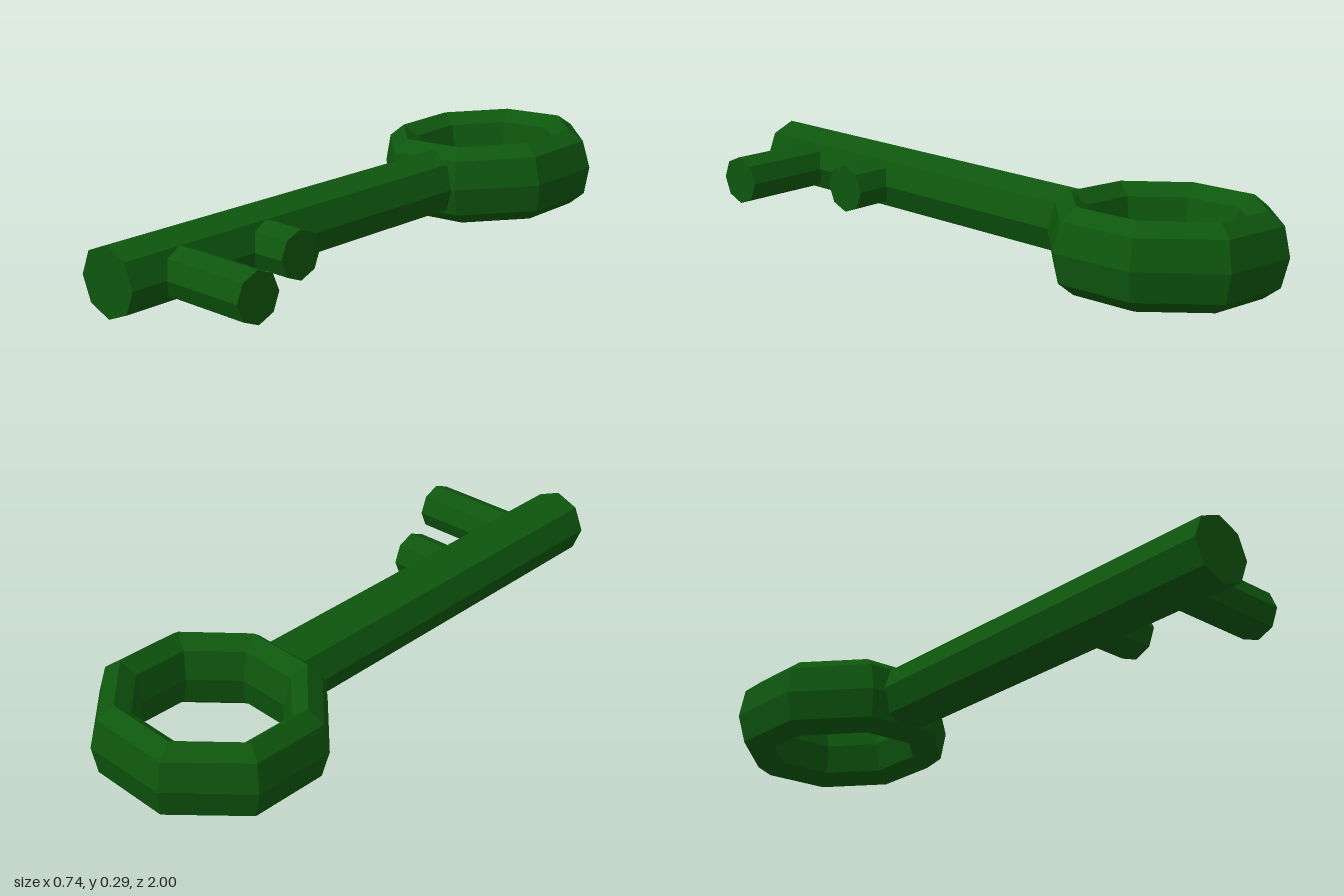
import * as THREE from 'three';

export function createModel() {
  const key = new THREE.Group();
  key.name = 'key';
  const green = new THREE.MeshStandardMaterial({ color: 0x0e560e, flatShading: true });
  green.name = 'dark green';

  const add = (name, geometry, x, y, z) => {
    const mesh = new THREE.Mesh(geometry, green);
    mesh.name = name;
    mesh.position.set(x, y, z);
    key.add(mesh);
    return mesh;
  };

  // Eight-sided shaft running along z, its back end buried in the bow
  const shaft = new THREE.CylinderGeometry(0.108, 0.108, 1.4, 8);
  shaft.rotateX(Math.PI / 2);
  add('shaft', shaft, -0.017, 0.145, 0.3);

  // Two teeth pointing to the key's left
  const addTooth = (name, end, z) => {
    const tooth = new THREE.CylinderGeometry(0.078, 0.078, end, 8);
    tooth.rotateZ(-Math.PI / 2);
    add(name, tooth, end / 2, 0.144, z);
  };
  addTooth('longTooth', 0.37, 0.801);
  addTooth('shortTooth', 0.2, 0.47);

  // Octagonal ring with a tall eight-sided section, flat sides facing the axes
  const flat = 1 / Math.cos(Math.PI / 8);
  const profile = [];
  for (let i = 0; i <= 8; i++) {
    const a = (i / 8) * Math.PI * 2;
    profile.push(new THREE.Vector2((0.27 + 0.065 * Math.cos(a)) * flat, 0.128 * Math.sin(a)));
  }
  const ring = new THREE.LatheGeometry(profile, 8, Math.PI / 8);
  const bow = add('bow', ring, -0.035, 0.144, -0.665);
  bow.rotation.set(0.018, 0, 0.055); // slightly tilted on the shaft

  return key;
}
